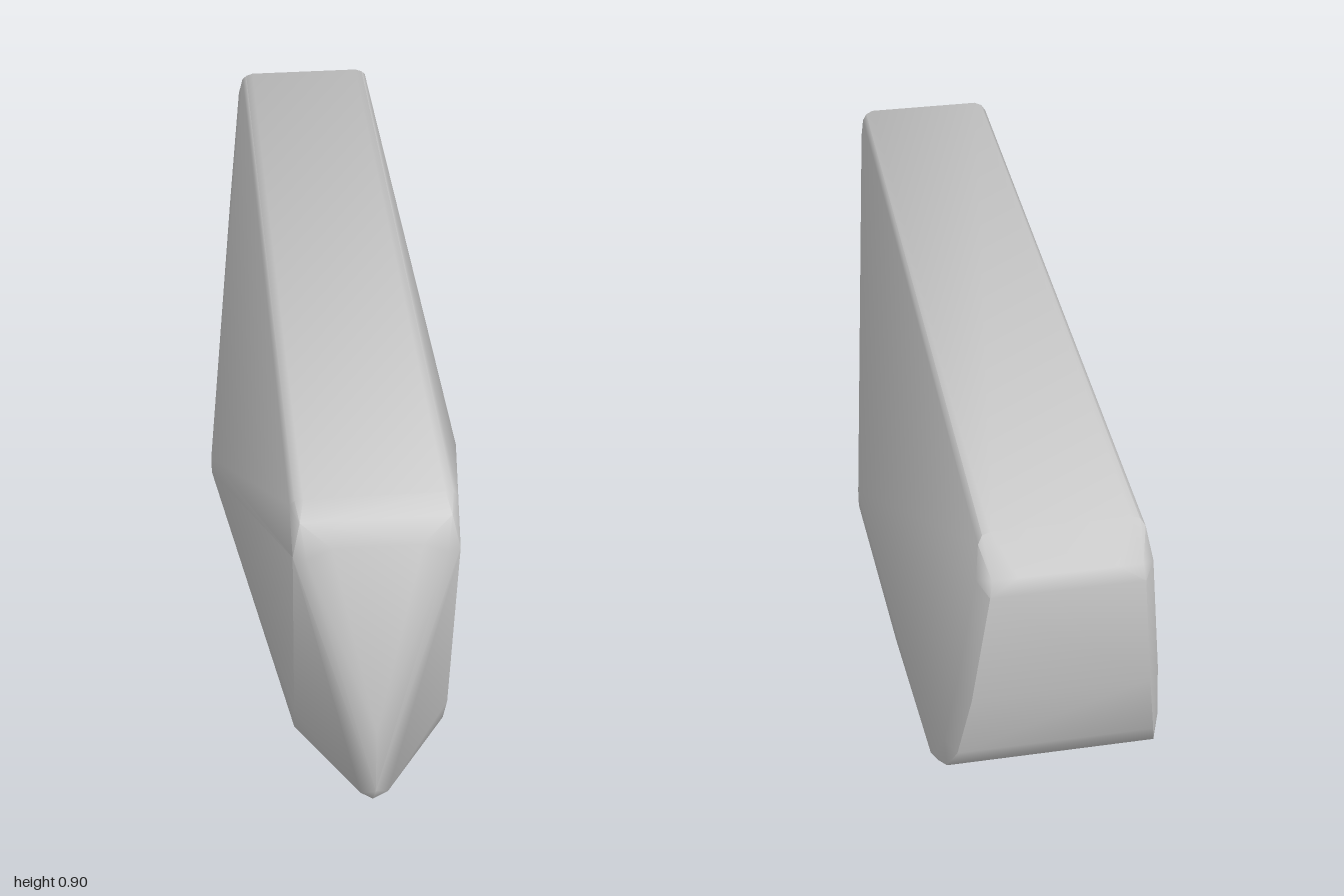
import * as THREE from 'three';
import { ConvexGeometry } from 'three/addons/geometries/ConvexGeometry.js';
import { toCreasedNormals } from 'three/addons/utils/BufferGeometryUtils.js';

// Corner points of the left half (x, y, z); each is mirrored to the right.
const topRim = [
  [0.14, 0.9, 0.89], [0.157, 0.894, 0.885], [0.167, 0.88, 0.88],
  [0.14, 0.9, -0.92], [0.157, 0.894, -0.92], [0.167, 0.88, -0.93],
];
const frontFace = [
  [0.09, 0.83, 0.96], [0.14, 0.805, 0.96], [0.15, 0.87, 0.925], [0.166, 0.8, 0.945],
  [0.165, 0.31, 0.885], [0.163, 0.225, 0.85],
  [0, 0.35, 1], [0, 0.17, 1], [0.03, 0.14, 0.975], [0, 0.09, 0.95],
];
const keel = [
  [0, 0.02, 0.86], [0.012, 0.004, 0.8], [0.012, 0, 0.42], [0.03, 0.015, 0.8],
];
const flank = [[0.309, 0.31, 0], [0.309, 0.265, 0], [0.276, 0.195, -0.43]];
const backFace = [
  [0.25, 0.19, -0.8], [0.238, 0.205, -0.84], [0.228, 0.24, -0.89],
  [0.245, 0.23, -0.84], [0.233, 0.32, -0.89], [0.212, 0.32, -0.935],
  [0.213, 0.5, -0.93], [0.187, 0.5, -0.97], [0.155, 0.8, -1],
  [0.1, 0.84, -0.995], [0.15, 0.835, -0.99], [0.177, 0.82, -0.965],
];

export function createModel() {
  const grey = new THREE.MeshStandardMaterial({ color: 0xc8c8c8 });
  grey.name = 'lightGrey';

  const points = [];
  for (const [x, y, z] of [...topRim, ...frontFace, ...keel, ...flank, ...backFace]) {
    points.push(new THREE.Vector3(x, y, z));
    if (x > 0) points.push(new THREE.Vector3(-x, y, z));
  }

  // Faceted hull with softly shaded bevels
  const hull = new THREE.Mesh(
    toCreasedNormals(new ConvexGeometry(points), THREE.MathUtils.degToRad(45)), grey);
  hull.name = 'hull';

  const model = new THREE.Group();
  model.name = 'wedgeBlock';
  model.add(hull);
  return model;
}
